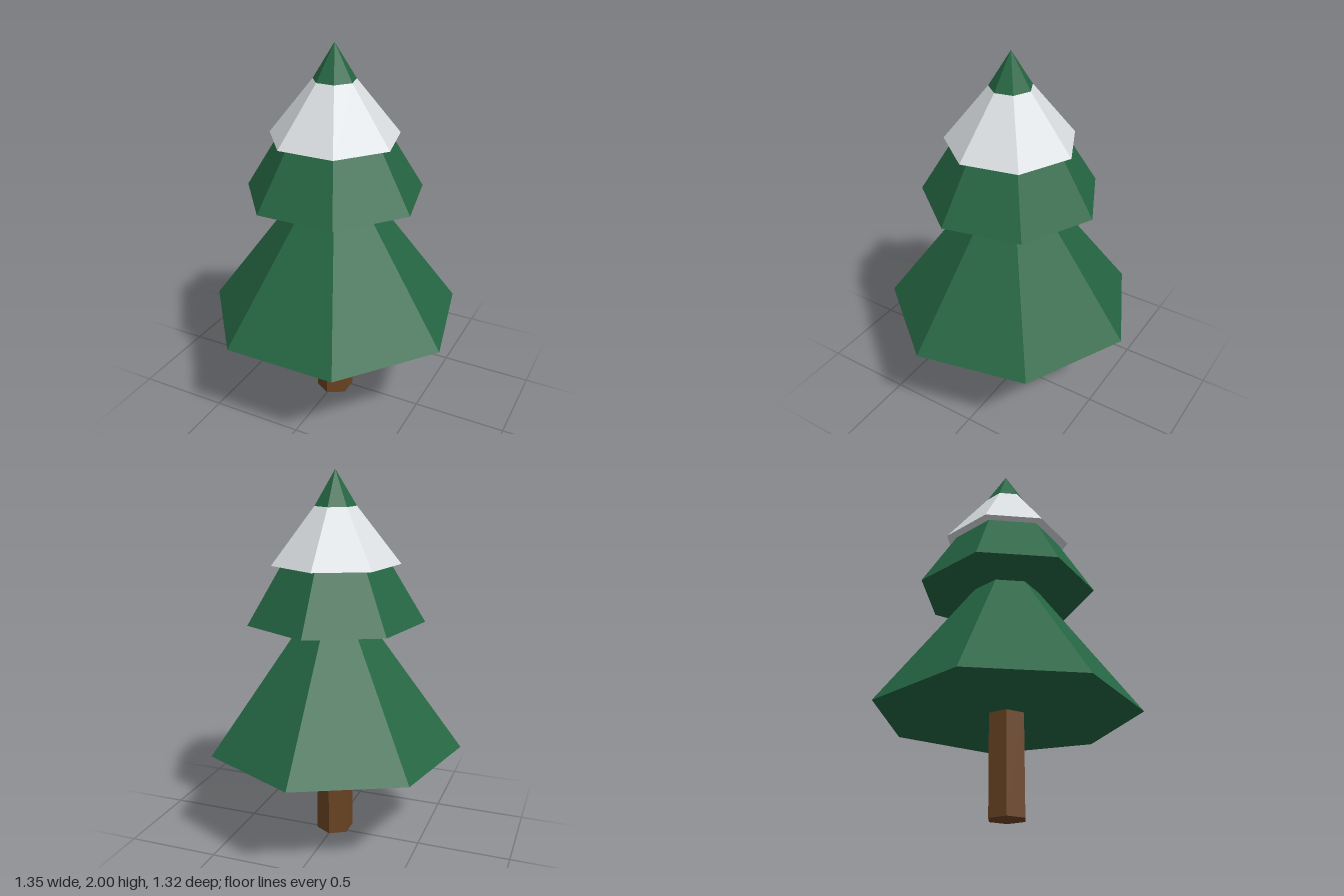
import * as THREE from 'three';

const material = (name, color) => {
  const m = new THREE.MeshStandardMaterial({ color, flatShading: true });
  m.name = name;
  return m;
};

export function createModel() {
  const green = material('needle green', 0x256643);
  const white = material('snow white', 0xdbdfe2);
  const brown = material('bark brown', 0x6b4423);

  const tree = new THREE.Group();
  tree.name = 'pineTree';

  // Faceted tier standing between two heights on the tree's axis
  function addTier(name, mat, bottomY, topY, bottomRadius, topRadius, sides, turn = 0) {
    const height = topY - bottomY;
    const geometry = new THREE.CylinderGeometry(topRadius, bottomRadius, height, sides);
    geometry.rotateY(turn);
    geometry.translate(0, bottomY + height / 2, 0.033);
    const mesh = new THREE.Mesh(geometry, mat);
    mesh.name = name;
    tree.add(mesh);
  }

  // Six-sided trunk
  addTier('trunk', brown, 0, 0.55, 0.102, 0.102, 6);

  // Seven-sided branch tiers, one corner pointing to the back
  addTier('lowerBranches', green, 0.525, 1.465, 0.692, 0, 7, Math.PI);
  addTier('upperBranches', green, 1.222, 2, 0.477, 0, 7, Math.PI);

  // Snow collar, its top edge meeting the upper branches below the tip
  addTier('snowCap', white, 1.525, 1.82, 0.345, 0.11, 7, Math.PI);

  return tree;
}
